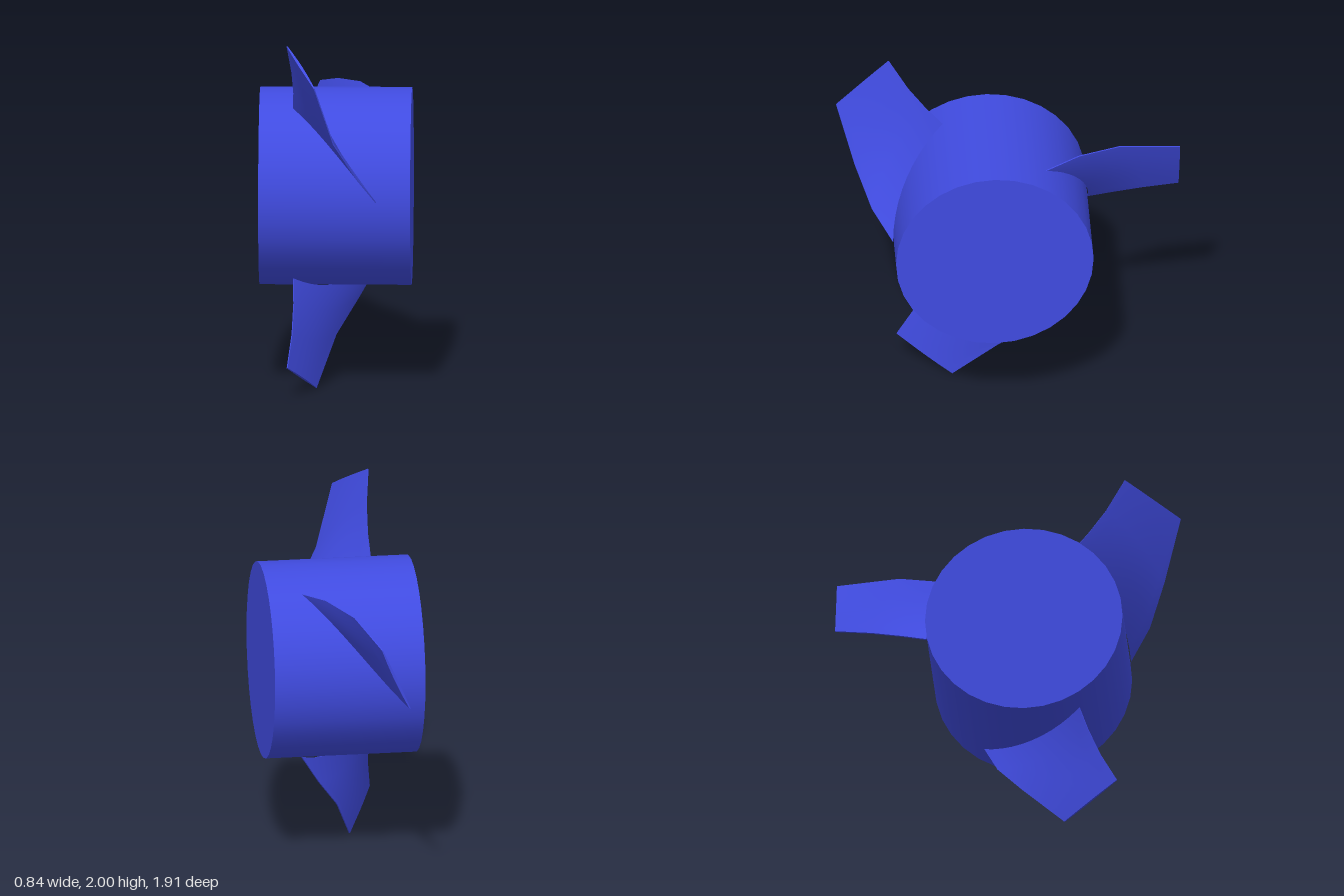
import * as THREE from 'three';
import { toCreasedNormals } from 'three/addons/utils/BufferGeometryUtils.js';

const HUB_RADIUS = 0.547;
const CHORD_STEPS = 10;

// Blade edges from root to tip: [distance outwards, sideways, along the axle]
const LEADING = [[0.55, -0.025, -0.23], [0.686, 0, -0.227], [0.855, 0.02, -0.235], [1.055, 0.025, -0.26]];
const TRAILING = [[0.295, 0.468, 0.23], [0.485, 0.487, 0.125], [0.715, 0.456, 0], [1.055, 0.372, -0.105]];

// One closed section: across the blade on one face, back on the other
function bladeSection(k) {
  const [r0, t0, x0] = LEADING[k], [r1, t1, x1] = TRAILING[k];
  const a0 = Math.atan2(t0, r0), a1 = Math.atan2(t1, r1);
  const normal = new THREE.Vector2(t0 - t1, x1 - x0).normalize();
  const isTip = k === LEADING.length - 1;
  const face = (u, side) => {
    const a = THREE.MathUtils.lerp(a0, a1, u);
    const r = isTip ? r0 / Math.cos(a) : THREE.MathUtils.lerp(Math.hypot(r0, t0), Math.hypot(r1, t1), u);
    const h = side * (0.003 + 0.005 * Math.sin(Math.PI * u));
    return [
      THREE.MathUtils.lerp(x0, x1, u) + normal.x * h,
      r * Math.sin(a) + normal.y * h * Math.cos(a),
      -r * Math.cos(a) + normal.y * h * Math.sin(a),
    ];
  };
  const points = [];
  for (let i = 0; i <= CHORD_STEPS; i++) points.push(face(i / CHORD_STEPS, 1));
  for (let i = CHORD_STEPS; i >= 0; i--) points.push(face(i / CHORD_STEPS, -1));
  return points;
}

function bladeGeometry() {
  const n = 2 * (CHORD_STEPS + 1), last = (LEADING.length - 1) * n;
  const positions = LEADING.flatMap((_, k) => bladeSection(k)).flat();
  const index = [];
  const quad = (a, b, c, d) => index.push(a, b, c, a, c, d);
  // Skin between neighbouring sections
  for (let k = 0; k < last; k += n) {
    for (let i = 0; i < n; i++) {
      const j = (i + 1) % n;
      quad(k + i, k + j, k + n + j, k + n + i);
    }
  }
  // Root and tip ends
  for (let i = 0; i < CHORD_STEPS; i++) {
    const back = n - 1 - i;
    quad(back, back - 1, i + 1, i);
    quad(last + i, last + i + 1, last + back - 1, last + back);
  }
  const geometry = new THREE.BufferGeometry();
  geometry.setAttribute('position', new THREE.Float32BufferAttribute(positions, 3));
  geometry.setIndex(index);
  return toCreasedNormals(geometry, Math.PI / 5);
}

export function createModel() {
  const blue = new THREE.MeshStandardMaterial({ color: 0x404be0 });
  blue.name = 'blue';

  const model = new THREE.Group();
  model.name = 'propeller';
  model.position.set(0, 1.103, 0.105);

  // Hub lying along x
  const hub = new THREE.Mesh(new THREE.CylinderGeometry(HUB_RADIUS, HUB_RADIUS, 0.84, 32), blue);
  hub.name = 'hub';
  hub.rotation.z = Math.PI / 2;
  model.add(hub);

  // Three twisted blades around the hub
  const geometry = bladeGeometry();
  for (let i = 0; i < 3; i++) {
    const blade = new THREE.Mesh(geometry, blue);
    blade.name = `blade${i + 1}`;
    blade.rotation.x = (i * 2 * Math.PI) / 3;
    model.add(blade);
  }

  const root = new THREE.Group();
  root.name = 'propellerModel';
  root.add(model);
  return root;
}
